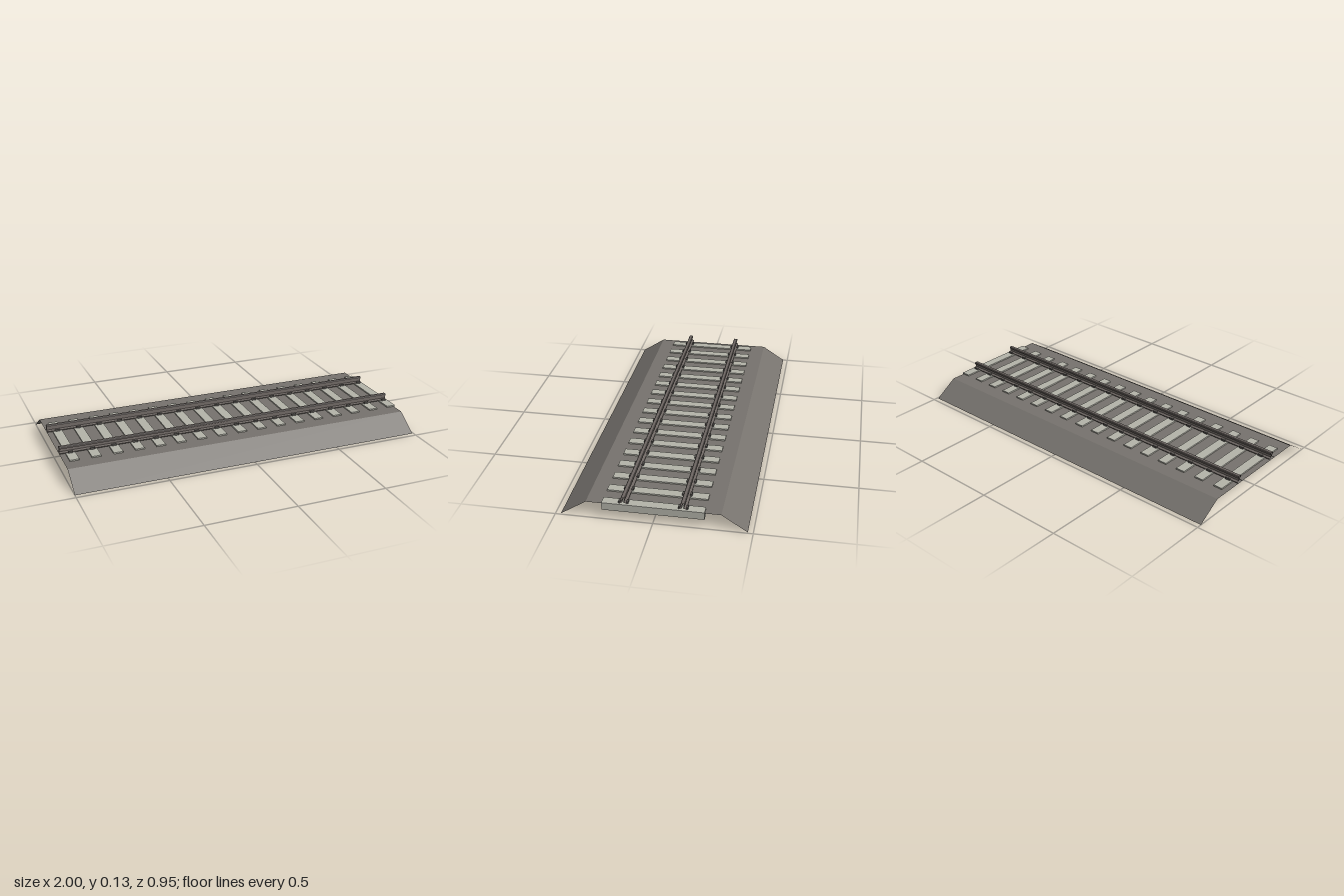
import * as THREE from 'three';

const X0 = -1, X1 = 0.993;

function material(color, open = false) {
  return new THREE.MeshStandardMaterial({
    color, flatShading: true, side: open ? THREE.DoubleSide : THREE.FrontSide,
  });
}

// Open sheet: a [z, y] profile swept straight along x, without end caps
function sweep(name, profile, mat) {
  const pos = [];
  for (let i = 0; i < profile.length - 1; i++) {
    const [z0, y0] = profile[i], [z1, y1] = profile[i + 1];
    pos.push(X0, y0, z0, X1, y0, z0, X1, y1, z1);
    pos.push(X0, y0, z0, X1, y1, z1, X0, y1, z1);
  }
  const geo = new THREE.BufferGeometry();
  geo.setAttribute('position', new THREE.Float32BufferAttribute(pos, 3));
  geo.computeVertexNormals();
  const mesh = new THREE.Mesh(geo, mat);
  mesh.name = name;
  return mesh;
}

// Mirrors a half profile (running inwards from +z) to the -z side
const mirrored = half => [...half, ...half.slice().reverse().map(([z, y]) => [-z, y])];

export function createModel() {
  const model = new THREE.Group();
  model.name = 'railwayTrack';

  // Gravel bed with sloping shoulders
  model.add(sweep('ballastBed', mirrored([[0.473, 0], [0.341, 0.086]]), material(0x77736e, true)));

  // Rails: wide foot, thin web, rounded-off head
  const railHalf = [
    [0.018, 0.093], [0.018, 0.097], [0.005, 0.102], [0.004, 0.115],
    [0.011, 0.118], [0.011, 0.127], [0.008, 0.13],
  ];
  const railMat = material(0x6e6763, true);
  for (const side of [1, -1]) {
    const rail = sweep(side > 0 ? 'frontRail' : 'backRail', mirrored(railHalf), railMat);
    rail.position.z = side * 0.15;
    model.add(rail);
  }

  // Sleepers, each with a clip on both sides of both rails
  const sleeperGeo = new THREE.BoxGeometry(0.052, 0.041, 0.518);
  const clipGeo = new THREE.BoxGeometry(0.026, 0.011, 0.01);
  const sleeperMat = material(0xb4b4aa), clipMat = material(0x55524f);
  for (let i = 0; i < 17; i++) {
    const unit = new THREE.Group();
    unit.name = 'sleeperUnit';
    unit.position.x = -0.942 + i * 0.1197;
    const sleeper = new THREE.Mesh(sleeperGeo, sleeperMat);
    sleeper.name = 'sleeper';
    sleeper.position.y = 0.073;
    unit.add(sleeper);
    for (const z of [-0.17, -0.13, 0.13, 0.17]) {
      const clip = new THREE.Mesh(clipGeo, clipMat);
      clip.name = 'railClip';
      clip.position.set(0, 0.0985, z);
      unit.add(clip);
    }
    model.add(unit);
  }
  return model;
}
